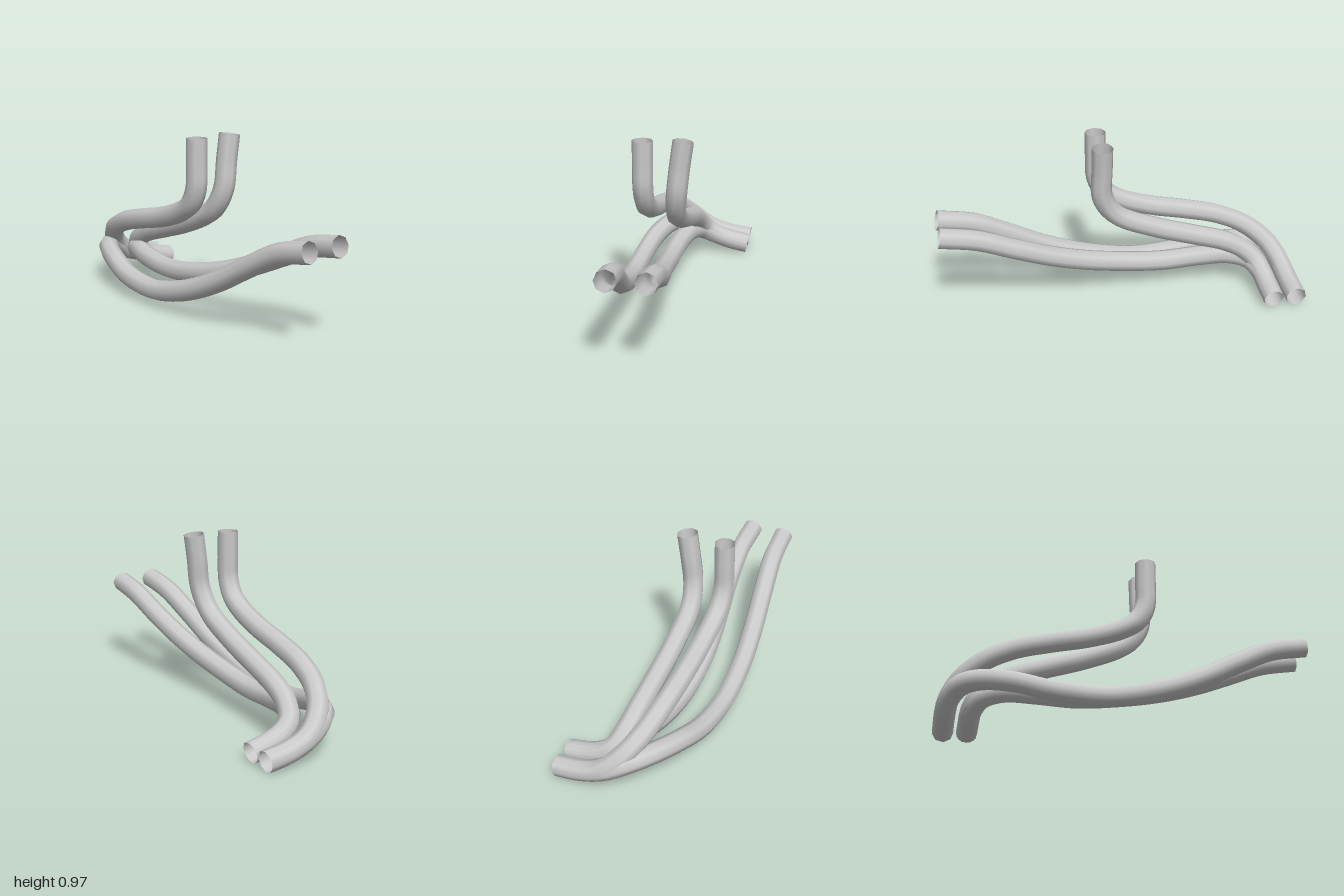
import * as THREE from 'three';

const RADIUS = 0.058;

// Centre lines of the four pipes: each pair meets at one outlet
const PIPES = {
  rearUpperPipe: [
    [-0.15, 0.96, 0.11], [-0.15, 0.82, 0.11], [-0.15, 0.69, 0.105], [-0.15, 0.6, 0.06],
    [-0.15, 0.54, -0.03], [-0.15, 0.48, -0.2], [-0.15, 0.435, -0.4], [-0.14, 0.385, -0.6],
    [-0.11, 0.315, -0.76], [-0.05, 0.23, -0.87], [0.03, 0.15, -0.925], [0.1, 0.108, -0.938],
    [0.2, 0.078, -0.943], [0.315, 0.062, -0.945],
  ],
  frontUpperPipe: [
    [0.072, 0.965, 0.11], [0.052, 0.82, 0.11], [0.037, 0.68, 0.11], [0.025, 0.59, 0.075],
    [0.018, 0.52, 0.01], [0.013, 0.425, -0.2], [0.013, 0.36, -0.4], [0.016, 0.295, -0.6],
    [0.027, 0.235, -0.71], [0.06, 0.168, -0.78], [0.12, 0.122, -0.803],
    [0.2, 0.088, -0.81], [0.315, 0.063, -0.815],
  ],
  rearLowerPipe: [
    [-0.143, 0.514, 1], [-0.158, 0.47, 0.8], [-0.187, 0.368, 0.6], [-0.218, 0.255, 0.4],
    [-0.245, 0.168, 0.2], [-0.26, 0.112, 0], [-0.264, 0.092, -0.15], [-0.255, 0.113, -0.4],
    [-0.22, 0.163, -0.6], [-0.155, 0.19, -0.77], [-0.08, 0.183, -0.87], [0.02, 0.14, -0.925],
    [0.1, 0.106, -0.938], [0.2, 0.078, -0.943], [0.315, 0.062, -0.945],
  ],
  frontLowerPipe: [
    [0.057, 0.514, 1], [0.053, 0.475, 0.8], [0.034, 0.39, 0.6], [0, 0.302, 0.4],
    [-0.035, 0.232, 0.2], [-0.06, 0.185, 0], [-0.068, 0.156, -0.25], [-0.055, 0.17, -0.48],
    [-0.02, 0.184, -0.64], [0.035, 0.163, -0.755], [0.11, 0.122, -0.8],
    [0.2, 0.088, -0.81], [0.315, 0.063, -0.815],
  ],
};

export function createModel() {
  const group = new THREE.Group();
  group.name = 'exhaustPipes';
  const material = new THREE.MeshStandardMaterial({ color: 0xcccccc, side: THREE.DoubleSide });

  // Open eight-sided pipes swept along smooth curves
  for (const [name, points] of Object.entries(PIPES)) {
    const curve = new THREE.CatmullRomCurve3(points.map((p) => new THREE.Vector3(...p)), false, 'centripetal');
    const pipe = new THREE.Mesh(new THREE.TubeGeometry(curve, 48, RADIUS, 8, false), material);
    pipe.name = name;
    group.add(pipe);
  }
  return group;
}
